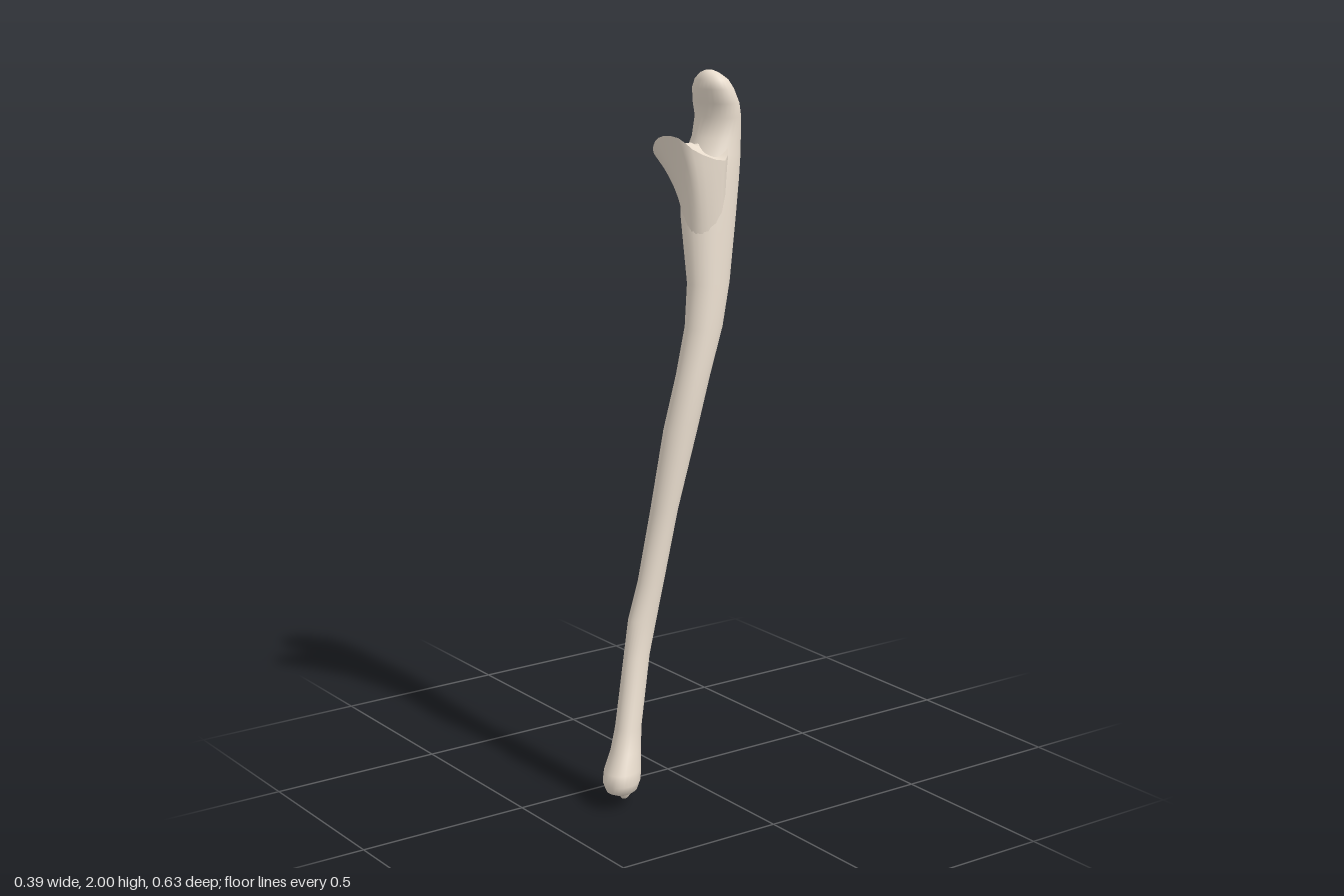
import * as THREE from 'three';

const SIDES = 28;
const bone = new THREE.MeshStandardMaterial({ color: 0xe6dacb, side: THREE.DoubleSide });
const V = (x, y, z) => new THREE.Vector3(x, y, z);

// Skin of stacked rings (bottom to top), each end closed by a fan
function loft(name, rings, capBottom = true, capTop = true) {
  const points = rings.flat();
  const index = [];
  const n = rings[0].length;
  for (let i = 0; i < rings.length - 1; i++) {
    for (let j = 0; j < n; j++) {
      const a = i * n + j, b = i * n + (j + 1) % n;
      index.push(a, a + n, b, b, a + n, b + n);
    }
  }
  const fan = (start, ring, up) => {
    const c = points.length;
    const centre = V(0, 0, 0);
    ring.forEach(p => centre.addScaledVector(p, 1 / n));
    points.push(centre);
    for (let j = 0; j < n; j++) {
      const a = start + j, b = start + (j + 1) % n;
      if (up) index.push(a, c, b);
      else index.push(b, c, a);
    }
  };
  if (capBottom) fan(0, rings[0], false);
  if (capTop) fan((rings.length - 1) * n, rings[rings.length - 1], true);
  const geometry = new THREE.BufferGeometry().setFromPoints(points);
  geometry.setIndex(index);
  geometry.computeVertexNormals();
  const mesh = new THREE.Mesh(geometry, bone);
  mesh.name = name;
  return mesh;
}

// Oval filling the bounds x0..x1, z0..z1; skew leans it along the diagonal
function oval(y, x0, x1, z0, z1, skew = 0) {
  return Array.from({ length: SIDES }, (_, j) => {
    const a = j / SIDES * Math.PI * 2;
    return V((x0 + x1) / 2 + (x1 - x0) / 2 * Math.cos(a), y,
      (z0 + z1) / 2 + (z1 - z0) / 2 * Math.sin(a + skew));
  });
}

export function createModel() {
  const group = new THREE.Group();
  group.name = 'forearmBone';

  // Shaft, from the lower head up to the hooked upper end: y, x0, x1, z0, z1, skew
  const shaft = [
    [0.035, 0.10, 0.165, 0.215, 0.285, 0.3],
    [0.045, 0.082, 0.182, 0.20, 0.305, 0.3],
    [0.07, 0.07, 0.193, 0.19, 0.315, 0.3],
    [0.10, 0.066, 0.185, 0.183, 0.307, 0.3],
    [0.15, 0.062, 0.163, 0.175, 0.275, 0.3],
    [0.21, 0.058, 0.142, 0.165, 0.25, 0.25],
    [0.40, 0.036, 0.10, 0.115, 0.197, 0.1],
    [0.50, 0.024, 0.091, 0.085, 0.172],
    [0.60, 0.014, 0.083, 0.055, 0.132],
    [0.80, -0.004, 0.076, 0.0, 0.076],
    [1.02, -0.014, 0.075, -0.071, 0.028],
    [1.17, -0.024, 0.066, -0.122, -0.022],
    [1.30, -0.041, 0.056, -0.174, -0.062],
    [1.42, -0.062, 0.04, -0.212, -0.083],
    [1.60, -0.118, 0.015, -0.26, -0.093],
    [1.70, -0.15, -0.003, -0.287, -0.11],
    [1.77, -0.17, -0.018, -0.302, -0.145],
    [1.815, -0.184, -0.032, -0.31, -0.18],
    [1.87, -0.193, -0.036, -0.313, -0.197],
    [1.91, -0.194, -0.032, -0.303, -0.19],
    [1.95, -0.18, -0.036, -0.283, -0.182],
    [1.975, -0.163, -0.05, -0.267, -0.185],
    [1.993, -0.14, -0.077, -0.245, -0.197],
    [2.0, -0.12, -0.1, -0.23, -0.21],
  ].map(s => oval(...s));
  group.add(loft('shaft', shaft));

  // Small pointed spur beside the lower head
  group.add(loft('lowerSpur', [
    oval(0.0, 0.10, 0.112, 0.218, 0.234),
    oval(0.012, 0.092, 0.122, 0.208, 0.243),
    oval(0.045, 0.078, 0.135, 0.195, 0.257),
    oval(0.12, 0.072, 0.14, 0.19, 0.255),
  ]));

  // Rim of the forward shelf below the hook, lower at its sides
  const rim = new THREE.CatmullRomCurve3([
    V(0.008, 1.76, -0.19), V(-0.007, 1.79, -0.10), V(-0.038, 1.828, -0.06),
    V(-0.10, 1.825, -0.043), V(-0.137, 1.797, -0.048), V(-0.168, 1.765, -0.075),
    V(-0.185, 1.745, -0.125), V(-0.177, 1.76, -0.2), V(-0.15, 1.8, -0.25),
    V(-0.1, 1.8, -0.265), V(-0.04, 1.8, -0.235),
  ], true).getPoints(SIDES).slice(0, SIDES);

  // The shelf narrows quickly downward into the shaft
  const centre = V(-0.035, 1.5, -0.155);
  const shelf = [];
  for (let i = 0; i <= 9; i++) {
    const t = i / 9, w = Math.pow(t, 2.5);
    shelf.push(rim.map(p => {
      const a = Math.atan2(p.z + 0.155, p.x + 0.09);
      const foot = V(centre.x + 0.05 * Math.cos(a), 0, centre.z + 0.06 * Math.sin(a));
      return V(THREE.MathUtils.lerp(foot.x, p.x, w),
        THREE.MathUtils.lerp(centre.y, p.y, t),
        THREE.MathUtils.lerp(foot.z, p.z, w));
    }));
  }
  group.add(loft('forwardShelf', shelf, true, false));

  // Saddle-shaped joint surface on top of the shelf
  const middle = V(-0.095, 1.805, -0.16);
  const saddle = [0, 0.3, 0.6, 0.85].map(t => rim.map(p => {
    const q = p.clone().lerp(middle, t);
    q.y -= 0.012 * Math.sin(Math.PI * t);
    return q;
  }));
  group.add(loft('jointSurface', saddle, false, true));

  return group;
}
